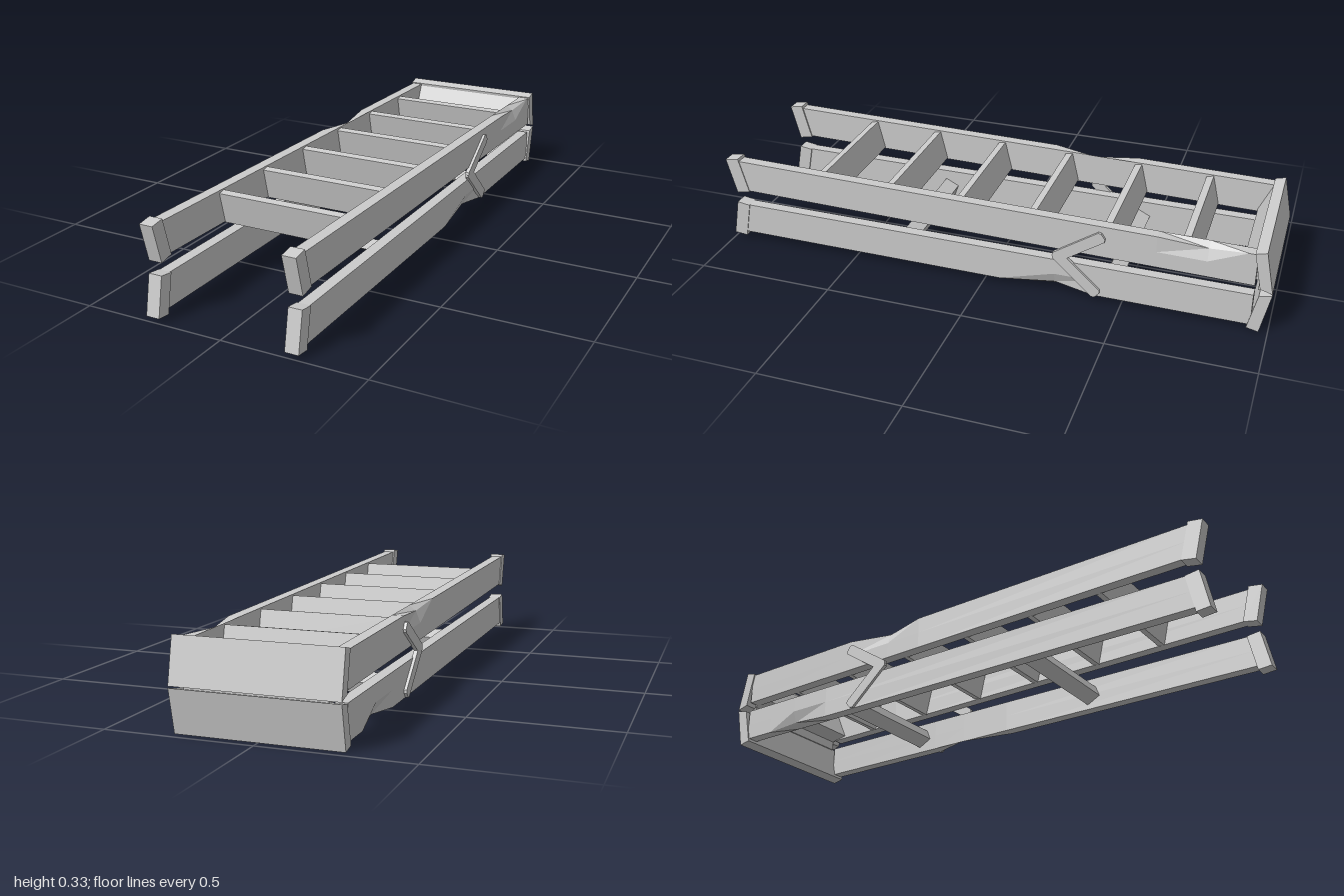
import * as THREE from 'three';

const material = new THREE.MeshStandardMaterial({ color: 0xcccccc, flatShading: true });

// Board running across x between x0 and x1, with a [z, y] cross-section
function board(name, profile, x0, x1) {
  const shape = new THREE.Shape(profile.map(([z, y]) => new THREE.Vector2(z, y)));
  const geometry = new THREE.ExtrudeGeometry(shape, { depth: x1 - x0, bevelEnabled: false });
  geometry.translate(0, 0, -(x1 - x0) / 2).rotateY(-Math.PI / 2).translate((x0 + x1) / 2, 0, 0);
  const mesh = new THREE.Mesh(geometry, material);
  mesh.name = name;
  return mesh;
}

// Long side rail, slightly sloped, with one worn dent on an outer edge
function rail(name, side, yFront, yBack, dent) {
  const height = 0.117, zFront = 0.95, zBack = -0.94;
  const stations = [zBack, dent.z - dent.back, dent.z, dent.z + dent.front, zFront];
  const geometry = new THREE.BoxGeometry(1, 1, 4, 1, 2, 4);
  const p = geometry.attributes.position;
  for (let i = 0; i < p.count; i++) {
    const station = Math.round(p.getZ(i) + 2);
    const z = stations[station];
    const outer = p.getX(i) * side > 0;
    const level = p.getY(i) * 2;
    let x = side * (outer ? 0.27 : 0.23);
    let y = THREE.MathUtils.mapLinear(z, zBack, zFront, yBack, yFront) + (level + 1) * height / 2;
    if (station === 2 && outer && level === dent.edge) {
      x -= side * 0.016;
      y -= dent.edge * 0.018;
    }
    p.setXYZ(i, x, y, z);
  }
  const mesh = new THREE.Mesh(geometry, material);
  mesh.name = name;
  return mesh;
}

// Flat folding arm between two [z, y] points on the outside of a rail
function arm(name, side, a, b) {
  const dz = b[0] - a[0], dy = b[1] - a[1], length = Math.hypot(dz, dy);
  const uz = dz / length, uy = dy / length, w = 0.02, c = 0.008;
  const at = (along, across) => [a[0] + uz * along - uy * across, a[1] + uy * along + uz * across];
  const profile = [
    at(-w, -w + c), at(-w + c, -w), at(length + w - c, -w), at(length + w, -w + c),
    at(length + w, w - c), at(length + w - c, w), at(-w + c, w), at(-w, w - c),
  ];
  return board(name, profile, side > 0 ? 0.266 : -0.28, side > 0 ? 0.28 : -0.266);
}

export function createModel() {
  const model = new THREE.Group();
  model.name = 'foldedStepLadder';
  const stepFrame = new THREE.Group();
  stepFrame.name = 'stepFrame';
  const supportFrame = new THREE.Group();
  supportFrame.name = 'supportFrame';
  const spreaders = new THREE.Group();
  spreaders.name = 'spreaders';
  model.add(stepFrame, supportFrame, spreaders);

  for (const side of [1, -1]) {
    const word = side > 0 ? 'left' : 'right';
    const x0 = side > 0 ? 0.225 : -0.273, x1 = x0 + 0.048;

    // Rails
    stepFrame.add(rail(word + 'StepRail', side, 0.206, 0.174,
      side > 0 ? { z: -0.78, back: 0.13, front: 0.17, edge: 1 } : { z: -0.25, back: 0.18, front: 0.14, edge: 1 }));
    supportFrame.add(rail(word + 'SupportRail', side, 0.028, 0.02,
      side > 0 ? { z: -0.26, back: 0.14, front: 0.2, edge: -1 } : { z: -0.7, back: 0.12, front: 0.16, edge: -1 }));

    // Feet
    stepFrame.add(board(word + 'StepFoot', [[1, 0.325], [0.95, 0.333], [0.917, 0.203], [0.967, 0.193]], x0, x1));
    supportFrame.add(board(word + 'SupportFoot', [[0.973, 0.152], [0.924, 0.145], [0.951, 0.012], [1, 0.017]], x0, x1));

    // Folding spreader arms
    spreaders.add(arm(word + 'UpperSpreader', side, [-0.277, 0.163], [-0.414, 0.255]));
    spreaders.add(arm(word + 'LowerSpreader', side, [-0.277, 0.16], [-0.403, 0.045]));
  }

  // Leaning treads of the step frame
  for (let i = 0; i < 6; i++) {
    const z = 0.617 - i * 0.2665, y = 0.2 - i * 0.0045;
    stepFrame.add(board('tread', [[z + 0.026, y + 0.108], [z, y + 0.113], [z - 0.026, y + 0.004], [z, y - 0.002]], -0.232, 0.232));
  }

  // Tilted cross bars of the support frame
  for (const z of [0.314, -0.46]) {
    supportFrame.add(board('crossBar',
      [[z + 0.032, 0.07], [z + 0.018, 0.107], [z - 0.032, 0.082], [z - 0.018, 0.043]], -0.232, 0.232));
  }

  // Top caps, hinged together at the back, and the sloped panel inside
  stepFrame.add(board('upperCap', [[-0.93, 0.295], [-0.968, 0.305], [-1, 0.154], [-0.958, 0.166]], -0.275, 0.275));
  supportFrame.add(board('lowerCap', [[-0.957, 0.139], [-1, 0.148], [-0.97, 0], [-0.928, 0.009]], -0.275, 0.275));
  stepFrame.add(board('capPanel', [[-0.93, 0.285], [-0.885, 0.185], [-0.955, 0.172]], -0.232, 0.232));
  model.add(board('hinge', [[-0.95, 0.17], [-0.985, 0.165], [-0.985, 0.138], [-0.95, 0.135]], -0.23, 0.23));
  return model;
}
